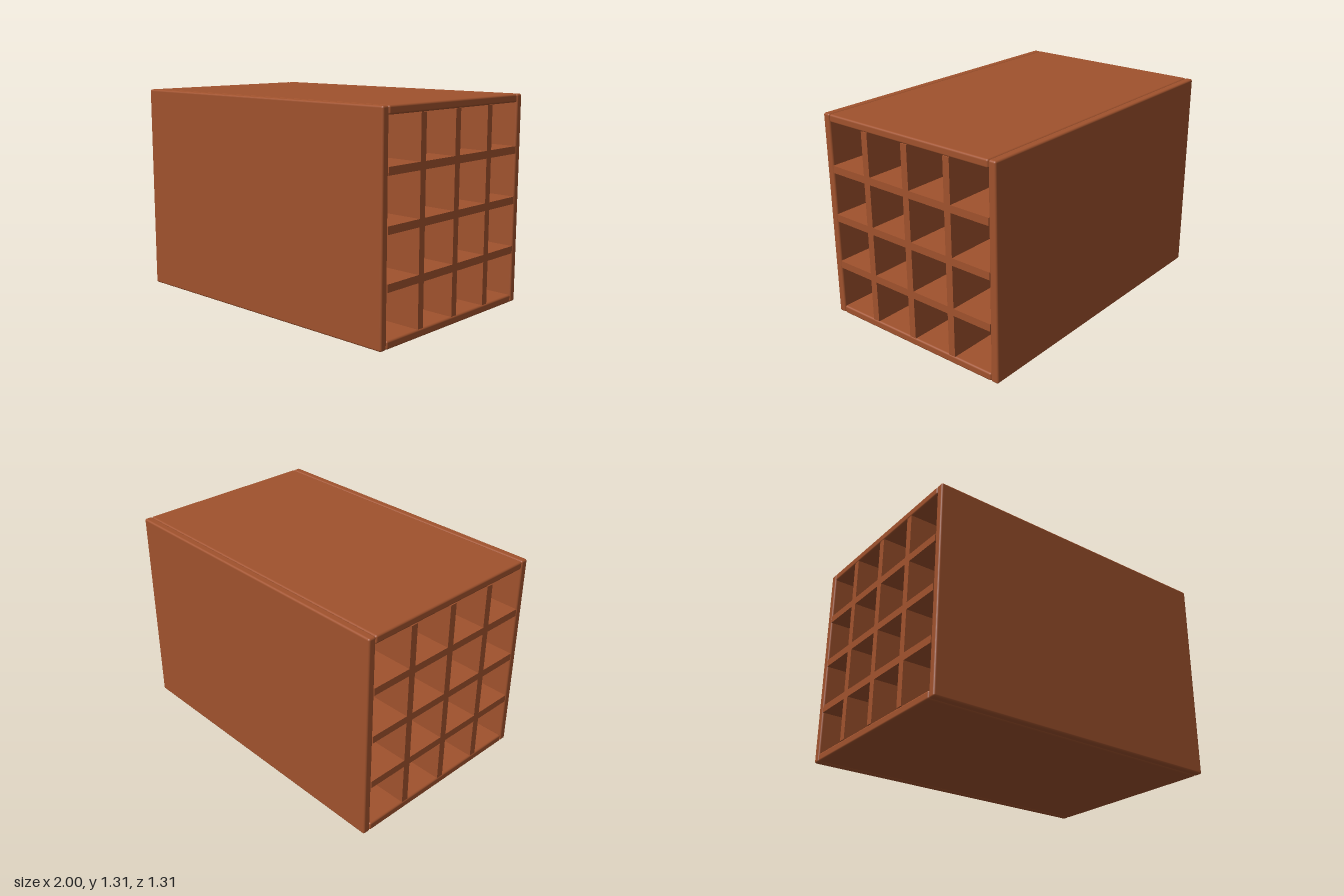
import * as THREE from 'three';
import { RoundedBoxGeometry } from 'three/addons/geometries/RoundedBoxGeometry.js';

const LENGTH = 2, SIZE = 1.306, WALL = 0.05, DIVIDER = 0.046, CELLS = 4, ROUND = 0.012;

export function createModel() {
  const wood = new THREE.MeshStandardMaterial({ color: 0xa0522d });
  wood.name = 'brown wood';
  const model = new THREE.Group();
  model.name = 'pigeonholeCrate';

  const add = (name, geometry, y, z) => {
    const mesh = new THREE.Mesh(geometry, wood);
    mesh.name = name;
    mesh.position.set(0, y, z);
    model.add(mesh);
  };

  const inner = SIZE - 2 * WALL;
  const mid = SIZE / 2;
  const offset = mid - WALL / 2;

  // Outer panels with softened edges: walls run full height, top and bottom sit between them
  const wall = new RoundedBoxGeometry(LENGTH, SIZE, WALL, 3, ROUND);
  const deck = new RoundedBoxGeometry(LENGTH, WALL, inner, 3, ROUND);
  add('frontPanel', wall, mid, offset);
  add('backPanel', wall, mid, -offset);
  add('topPanel', deck, mid + offset, 0);
  add('bottomPanel', deck, mid - offset, 0);

  // Square-edged dividers: whole shelves, with uprights fitted between them
  const cell = (inner - (CELLS - 1) * DIVIDER) / CELLS;
  const pitch = cell + DIVIDER;
  const shelf = new THREE.BoxGeometry(LENGTH, DIVIDER, inner);
  const upright = new THREE.BoxGeometry(LENGTH, cell, DIVIDER);
  for (let row = 0; row < CELLS; row++) {
    const y = WALL + cell / 2 + row * pitch;
    if (row < CELLS - 1) add('shelf', shelf, y + pitch / 2, 0);
    for (let col = 1; col < CELLS; col++) {
      add('upright', upright, y, (col - CELLS / 2) * pitch);
    }
  }
  return model;
}
